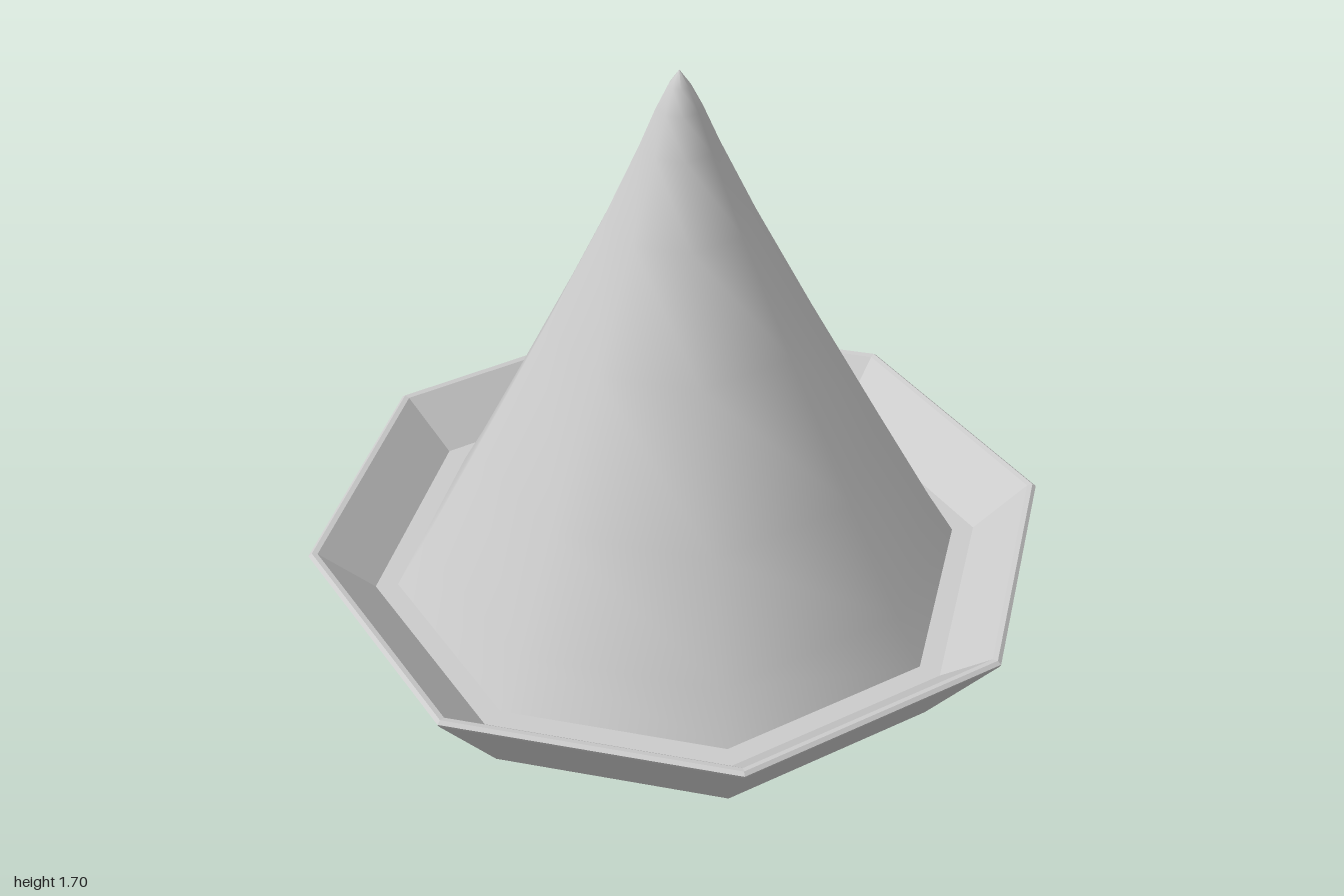
import * as THREE from 'three';

const SIDES = 8;

// Octagonal solid of revolution with corners on the x and z axes
function turned(name, profile, flatShading) {
  const points = profile.map(([r, y]) => new THREE.Vector2(r, y));
  const material = new THREE.MeshStandardMaterial({ color: 0xcccccc, flatShading });
  const mesh = new THREE.Mesh(new THREE.LatheGeometry(points, SIDES), material);
  mesh.name = name;
  return mesh;
}

export function createModel() {
  const model = new THREE.Group();
  model.name = 'coneInDish';

  // Low foot ring with a recessed underside
  model.add(turned('foot', [
    [0, 0.06], [0.5, 0.06], [0.5, 0], [0.565, 0], [0.565, 0.065],
  ], true));

  // Flared dish with a thin bevelled rim and a raised inner floor
  model.add(turned('dish', [
    [0.5, 0.065], [0.795, 0.065], [0.995, 0.325], [1, 0.335],
    [0.99, 0.343], [0.975, 0.34], [0.83, 0.21], [0, 0.21],
  ], true));

  // Tall cone, smooth shaded, slightly flared at the base and rounded at the tip
  model.add(turned('cone', [
    [0.77, 0.21], [0.695, 0.34], [0.54, 0.63], [0.345, 1.0], [0.193, 1.3],
    [0.1, 1.5], [0.058, 1.6], [0.028, 1.66], [0, 1.7],
  ], false));

  return model;
}
